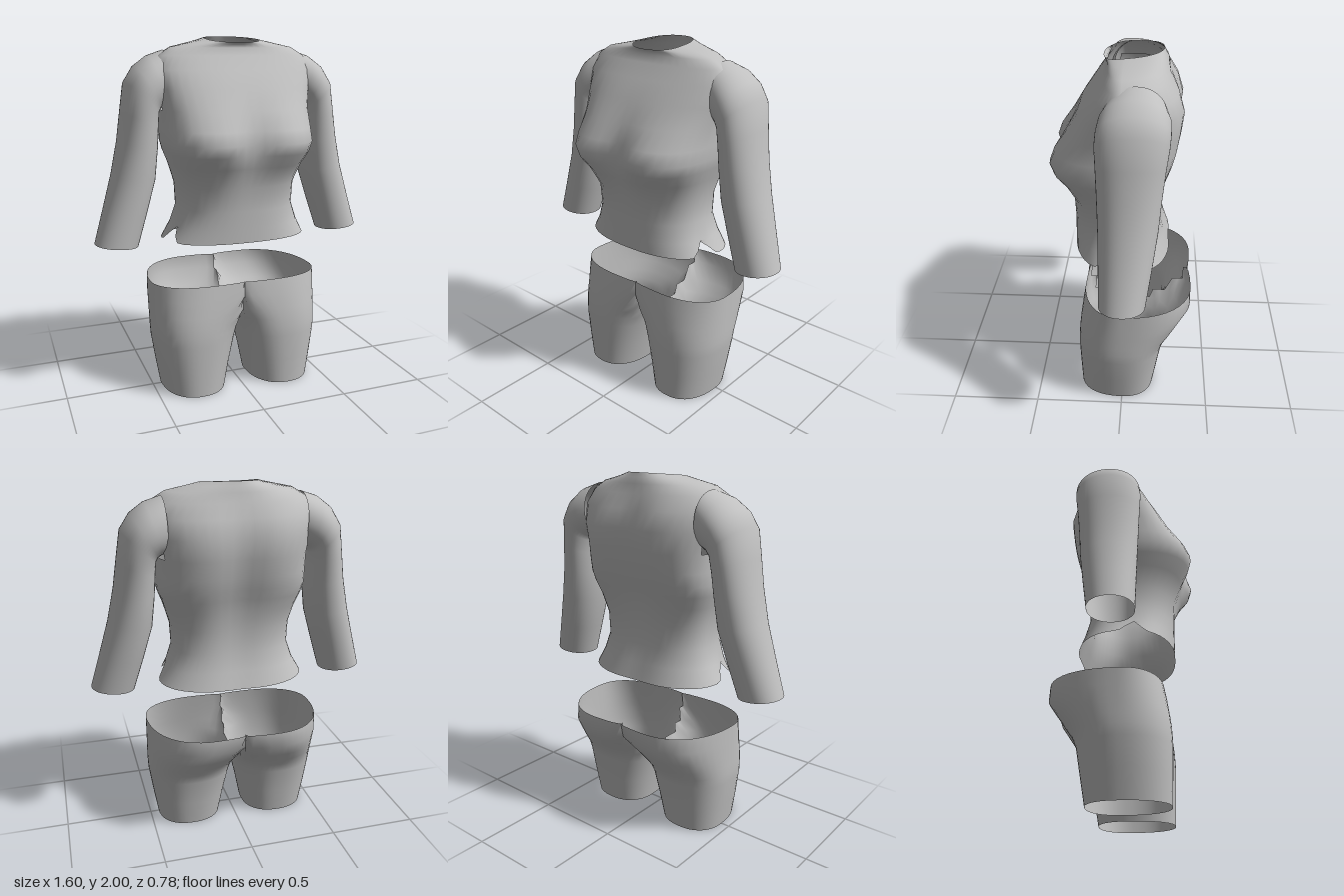
import * as THREE from 'three';

const SEG = 48;
const cloth = new THREE.MeshStandardMaterial({ color: 0xc0c0c0, side: THREE.DoubleSide });
cloth.name = 'grey cloth';

// Unit superellipse: angle 0 faces the front, a quarter turn faces +x.
function oval(a, n) {
  const s = Math.sin(a), c = Math.cos(a);
  const r = Math.pow(Math.abs(s) ** n + Math.abs(c) ** n, -1 / n);
  return [s * r, c * r];
}

// Open skin through rings listed bottom to top; skip(quad) leaves holes.
function loft(name, rings, point, side = 1, skip = () => false) {
  const pts = [], index = [];
  for (const ring of rings) {
    for (let j = 0; j < SEG; j++) {
      const p = point(ring, (j / SEG) * Math.PI * 2);
      pts.push(new THREE.Vector3(p[0] * side, p[1], p[2]));
    }
  }
  for (let i = 0; i < rings.length - 1; i++) {
    for (let j = 0; j < SEG; j++) {
      const k = (j + 1) % SEG;
      const q = [i * SEG + j, i * SEG + k, (i + 1) * SEG + k, (i + 1) * SEG + j];
      if (skip(q.map((v) => pts[v]))) continue;
      if (side < 0) q.reverse();
      index.push(q[0], q[1], q[2], q[0], q[2], q[3]);
    }
  }
  const geo = new THREE.BufferGeometry().setFromPoints(pts);
  geo.setIndex(index);
  geo.computeVertexNormals();
  const mesh = new THREE.Mesh(geo, cloth);
  mesh.name = name;
  return mesh;
}

// Torso rings: y, half width, front z, back z, squareness, chest dip, spine dip, rise to the back
const torsoRings = [
  [0.885, 0.42, 0.28, -0.265, 2.4, 0, 0.05, -0.01],
  [0.97, 0.37, 0.28, -0.235, 2.4, 0, 0.06, 0],
  [1.07, 0.335, 0.28, -0.21, 2.4, 0, 0.08, 0],
  [1.2, 0.34, 0.285, -0.21, 2.5, 0, 0.1, 0],
  [1.31, 0.37, 0.34, -0.23, 2.8, 0.06, 0.12, 0],
  [1.38, 0.395, 0.39, -0.25, 3.1, 0.13, 0.12, 0],
  [1.44, 0.41, 0.41, -0.27, 3.1, 0.18, 0.12, 0],
  [1.51, 0.41, 0.38, -0.29, 3, 0.12, 0.12, 0],
  [1.61, 0.415, 0.305, -0.31, 2.8, 0.05, 0.12, 0],
  [1.72, 0.44, 0.235, -0.325, 2.6, 0, 0.12, 0],
  [1.82, 0.455, 0.165, -0.29, 2.5, 0, 0.08, 0],
  [1.895, 0.425, 0.11, -0.245, 2.3, 0, 0.04, 0],
  [1.94, 0.35, 0.09, -0.225, 2.2, 0, 0, 0.005],
  [1.965, 0.23, 0.095, -0.21, 2.2, 0, 0, 0.012],
  [1.982, 0.15, 0.11, -0.2, 2.3, 0, 0, 0.018],
];
function torsoPoint([y, w, front, back, n, chest, spine, rise], a) {
  const [u, v] = oval(a, n);
  let x = u * w, z = v > 0 ? v * front : -v * back;
  const middle = Math.exp(-((x / 0.12) ** 2));
  z *= 1 - middle * (v > 0 ? chest : spine);
  // Side notch in the hem, folded slightly inward
  const notch = y < 0.9 ? Math.exp(-(((z - 0.07) / 0.045) ** 2)) * Math.abs(u) : 0;
  x *= 1 - 0.14 * notch;
  return [x, y + 0.08 * notch - rise * v, z];
}
// Opening where a sleeve meets the torso
const armhole = (q) => q.every((p) =>
  Math.abs(p.x) > 0.38 && p.y > 1.6 && p.y < 1.87 && p.z > -0.19 && p.z < 0.08);

// Sleeve rings: outer x, y, inner x, y, centre z, half depth
const sleeveRings = [
  [0.8, 0.885, 0.56, 0.862, -0.015, 0.12],
  [0.745, 1.07, 0.505, 1.04, -0.028, 0.135],
  [0.69, 1.26, 0.45, 1.23, -0.04, 0.15],
  [0.65, 1.44, 0.432, 1.4, -0.045, 0.16],
  [0.625, 1.6, 0.425, 1.52, -0.05, 0.17],
  [0.6, 1.755, 0.42, 1.59, -0.055, 0.18],
  [0.545, 1.84, 0.41, 1.61, -0.06, 0.18],
  [0.47, 1.895, 0.395, 1.62, -0.065, 0.175],
  [0.38, 1.925, 0.37, 1.63, -0.07, 0.15],
];
function sleevePoint([ox, oy, ix, iy, cz, depth], a) {
  const [u, v] = oval(a, 2.1);
  return [(ox + ix + u * (ox - ix)) / 2, (oy + iy + u * (oy - iy)) / 2, cz + v * depth];
}

// Shorts half rings: y, middle x, outer x, inner x, front z, back z
const legRings = [
  [0, 0.265, 0.45, 0.08, 0.25, -0.18],
  [0.15, 0.265, 0.475, 0.05, 0.255, -0.205],
  [0.3, 0.26, 0.497, 0.015, 0.26, -0.23],
  [0.36, 0.25, 0.5, -0.003, 0.258, -0.255],
  [0.41, 0.245, 0.5, -0.03, 0.255, -0.29],
  [0.47, 0.23, 0.5, -0.09, 0.248, -0.33],
  [0.56, 0.2, 0.5, -0.22, 0.235, -0.39],
  [0.645, 0.17, 0.5, -0.32, 0.22, -0.39],
];
function legPoint([y, mid, outer, inner, front, back], a) {
  const [u, v] = oval(a, 2.3);
  const x = mid + u * (u > 0 ? outer - mid : mid - inner);
  return [Math.max(0, x), y, v > 0 ? v * front : -v * back];
}
// The halves join at the middle, with no wall between them
const middleWall = (q) => q.every((p) => Math.abs(p.x) < 1e-6);

export function createModel() {
  const model = new THREE.Group();
  model.name = 'outfit';
  const shirt = new THREE.Group();
  shirt.name = 'shirt';
  const shorts = new THREE.Group();
  shorts.name = 'shorts';

  shirt.add(loft('shirtBody', torsoRings, torsoPoint, 1, armhole));
  for (const [label, side] of [['left', 1], ['right', -1]]) {
    shirt.add(loft(label + 'Sleeve', sleeveRings, sleevePoint, side));
    shorts.add(loft(label + 'ShortsHalf', legRings, legPoint, side, middleWall));
  }
  model.add(shirt, shorts);
  return model;
}
